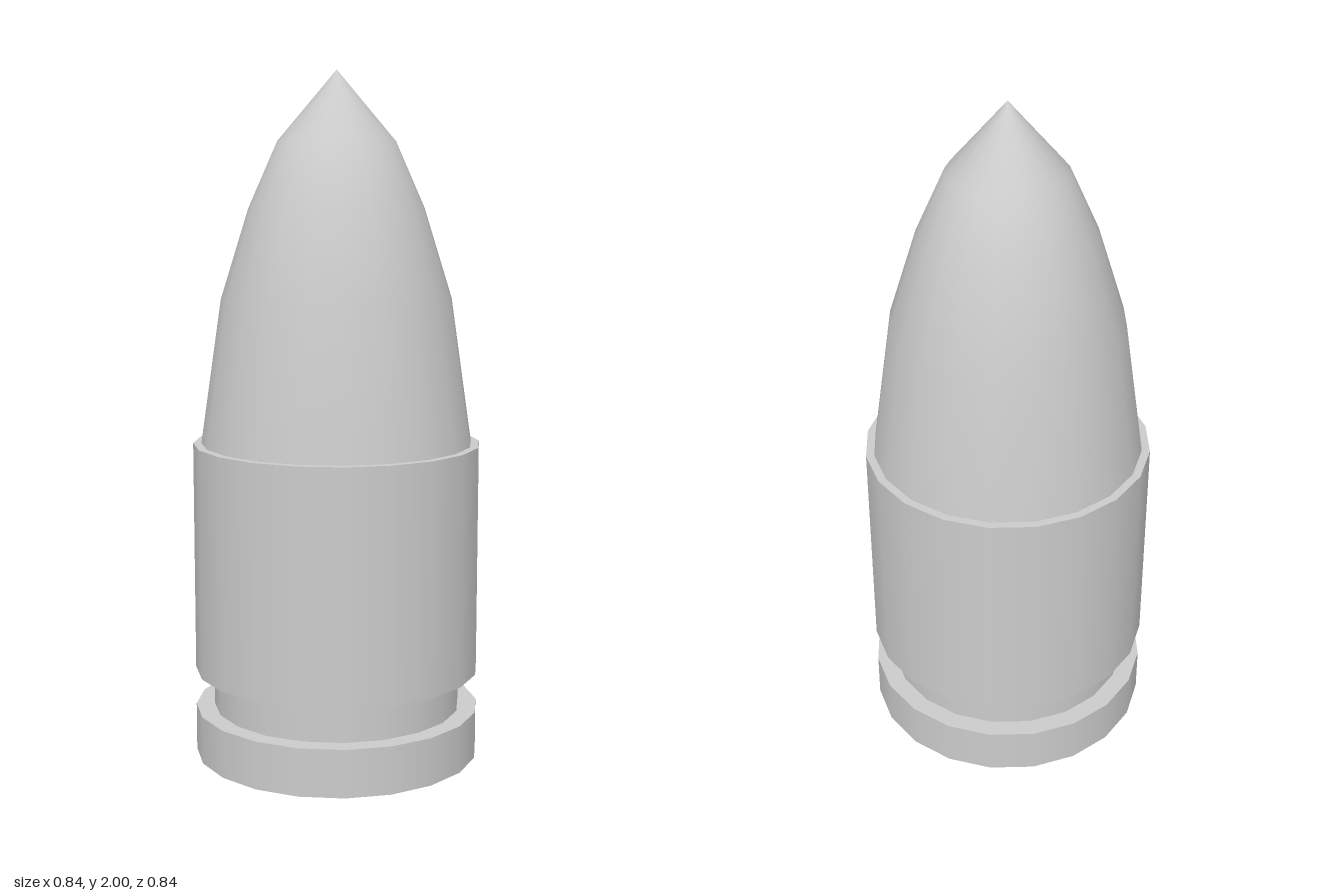
import * as THREE from 'three';

const SIDES = 20;

export function createModel() {
  const group = new THREE.Group();
  const material = new THREE.MeshStandardMaterial({ color: 0xcccccc });

  const add = (name, geometry, y = 0) => {
    const mesh = new THREE.Mesh(geometry, material);
    mesh.name = name;
    mesh.position.y = y;
    group.add(mesh);
  };

  // Straight cylindrical section between two heights
  const section = (name, radius, bottom, top) =>
    add(name, new THREE.CylinderGeometry(radius, radius, top - bottom, SIDES), (bottom + top) / 2);

  section('baseRim', 0.42, 0, 0.14);
  section('extractorGroove', 0.365, 0.14, 0.255);
  section('casing', 0.42, 0.255, 0.93);

  // Pointed nose, smooth around and along its curve
  const profile = [[0.396, 0.93], [0.335, 1.35], [0.254, 1.61], [0.17, 1.8], [0, 2]]
    .map(([r, y]) => new THREE.Vector2(r, y));
  add('nose', new THREE.LatheGeometry(profile, SIDES));

  return group;
}
